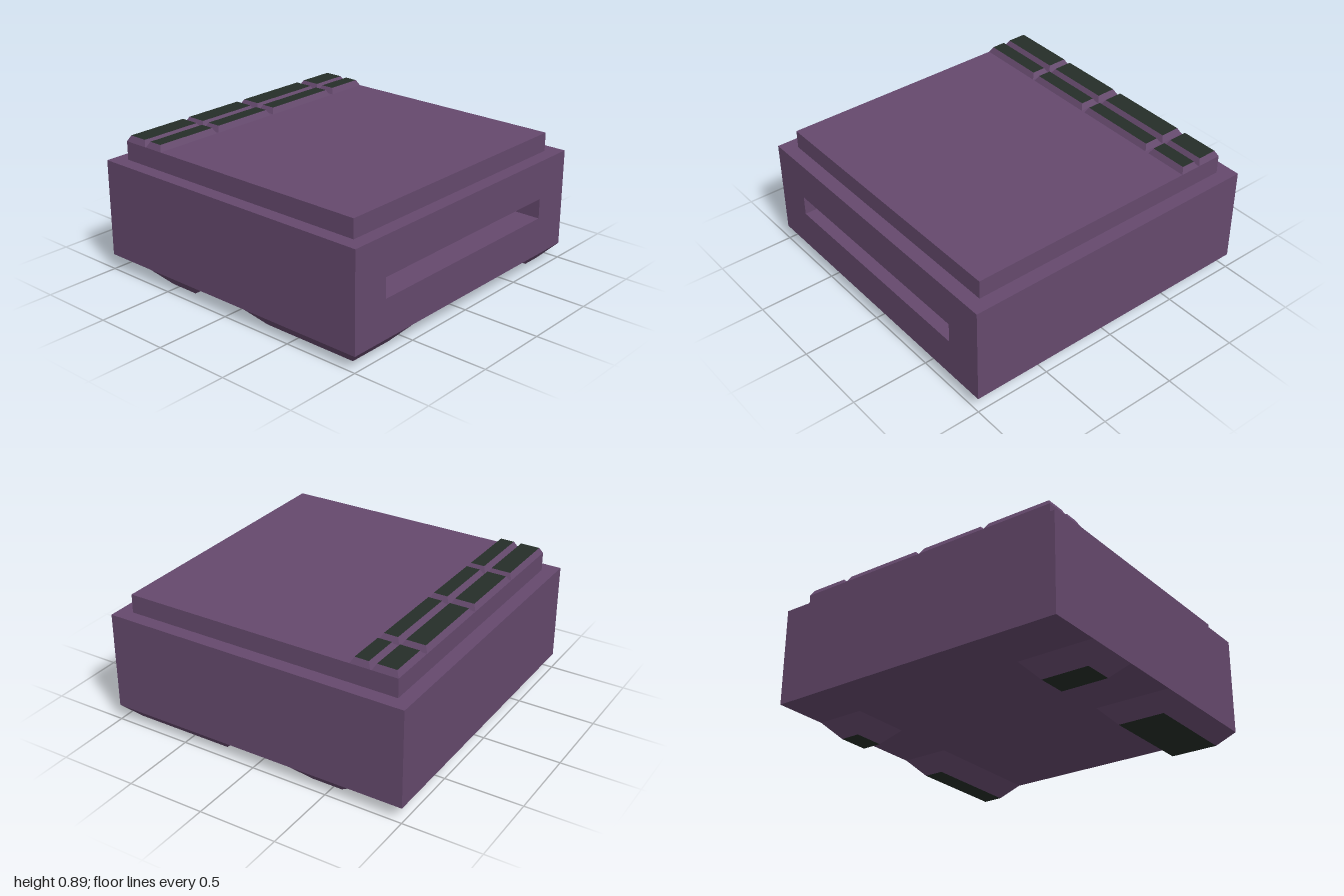
import * as THREE from 'three';

const purple = new THREE.MeshStandardMaterial({ color: 0x65496d });
const dark = new THREE.MeshStandardMaterial({ color: 0x252e28 });

// Box between two corners; its top or bottom face is drawn in by `inset`
// and takes the dark colour.
function taperedBlock(name, [x0, x1], [y0, y1], [z0, z1], inset, darkEnd) {
  const w = x1 - x0, h = y1 - y0, d = z1 - z0;
  const geo = new THREE.BoxGeometry(w, h, d);
  const pos = geo.attributes.position;
  const end = darkEnd === 'top' ? 1 : -1;
  for (let i = 0; i < pos.count; i++) {
    if (Math.sign(pos.getY(i)) !== end) continue;
    pos.setX(i, pos.getX(i) * (1 - 2 * inset / w));
    pos.setZ(i, pos.getZ(i) * (1 - 2 * inset / d));
  }
  geo.computeVertexNormals();
  const materials = Array(6).fill(purple);
  materials[darkEnd === 'top' ? 2 : 3] = dark;
  const mesh = new THREE.Mesh(geo, materials);
  mesh.position.set((x0 + x1) / 2, (y0 + y1) / 2, (z0 + z1) / 2);
  mesh.name = name;
  return mesh;
}

function box(name, w, h, d, x, y) {
  const mesh = new THREE.Mesh(new THREE.BoxGeometry(w, h, d), purple);
  mesh.position.set(x, y, 0);
  mesh.name = name;
  return mesh;
}

export function createModel() {
  const model = new THREE.Group();
  model.name = 'console';

  // Main body: solid block plus a pierced side layer that forms the slot
  const slotDepth = 0.3;
  const body = new THREE.Group();
  body.name = 'body';
  body.add(box('bodyBlock', 2 - slotDepth, 0.63, 2, -slotDepth / 2, 0.415));

  const side = new THREE.Shape([[-1, 0.1], [1, 0.1], [1, 0.73], [-1, 0.73]]
    .map(([x, y]) => new THREE.Vector2(x, y)));
  side.holes.push(new THREE.Path([[-0.745, 0.35], [-0.745, 0.48], [0.745, 0.48], [0.745, 0.35]]
    .map(([x, y]) => new THREE.Vector2(x, y))));
  const slotSide = new THREE.Mesh(
    new THREE.ExtrudeGeometry(side, { depth: slotDepth, bevelEnabled: false }), purple);
  slotSide.rotation.y = Math.PI / 2;
  slotSide.position.x = 1 - slotDepth;
  slotSide.name = 'slotSide';
  body.add(slotSide);
  model.add(body);

  // Raised top plate
  model.add(box('topPlate', 1.82, 0.12, 1.82, 0, 0.79));

  // Two columns of bevelled buttons along the right edge
  const buttons = new THREE.Group();
  buttons.name = 'buttons';
  const rows = [[-0.91, -0.625], [-0.6, -0.05], [-0.025, 0.435], [0.45, 0.91]];
  for (const column of [[-0.91, -0.745], [-0.735, -0.605]]) {
    for (const row of rows) {
      buttons.add(taperedBlock('button', column, [0.85, 0.887], row, 0.02, 'top'));
    }
  }
  model.add(buttons);

  // Four tapered feet
  const feet = new THREE.Group();
  feet.name = 'feet';
  for (const x of [[-0.65, -0.26], [0.16, 1]]) {
    for (const z of [[-1, -0.68], [0.5, 1]]) {
      feet.add(taperedBlock('foot', x, [0, 0.1], z, 0.095, 'bottom'));
    }
  }
  model.add(feet);

  return model;
}
